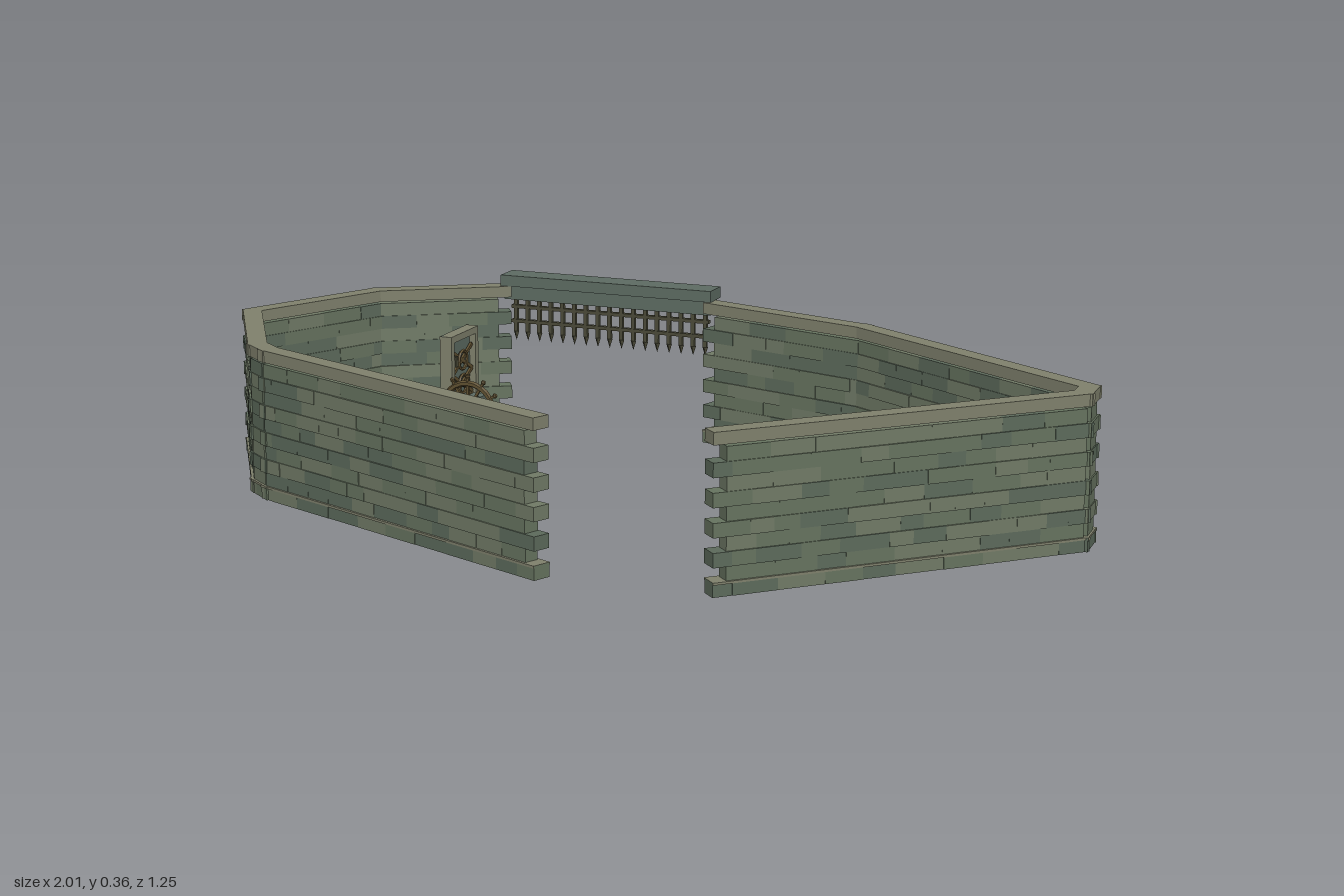
import * as THREE from 'three';
import { mergeGeometries } from 'three/addons/utils/BufferGeometryUtils.js';

const mat = (color) => new THREE.MeshStandardMaterial({ color, flatShading: true });
const stones = [0x66735f, 0x5c6a5b, 0x707a66].map(mat);
const capStone = mat(0x7f806c);
const slate = mat(0x5d6b62);
const bronze = mat(0x5e4f30);
const wood = mat(0x4b4a38);
const water = mat(0x3a7468);

let seed = 7;
const rand = () => (seed = (seed * 16807) % 2147483647) / 2147483647;

const box = (w, h, d, x, y, z) => new THREE.BoxGeometry(w, h, d).translate(x, y, z);

function add(parent, name, geometries, material) {
  const list = [].concat(geometries).map((g) => (g.index ? g.toNonIndexed() : g));
  const mesh = new THREE.Mesh(mergeGeometries(list), material);
  mesh.name = name;
  parent.add(mesh);
  return mesh;
}

// Straight wall of eleven brick courses; every other course is set back at an open end
function wall(name, [x0, z0], [x1, z1], openStart, openEnd) {
  const group = new THREE.Group();
  group.name = name;
  const length = Math.hypot(x1 - x0, z1 - z0);
  const bricks = [[], [], []];
  const trim = [];
  for (let i = 0; i < 11; i++) {
    const y = 0.022 + i * 0.03;
    const long = i % 2 === 0;
    const start = long ? (openStart ? 0 : -0.014) : (openStart ? 0.03 : 0);
    const end = length + (long ? (openEnd ? 0 : 0.014) : (openEnd ? -0.03 : 0));
    if (i === 10) {
      trim.push(box(end - start, 0.026, 0.042, (start + end) / 2, y + 0.003, 0));
      continue;
    }
    let x = start;
    while (x < end - 0.001) {
      let w = 0.05 + rand() * 0.06;
      if (end - x - w < 0.03) w = end - x;
      const depth = (long ? 0.038 : 0.032) + rand() * 0.004;
      bricks[Math.floor(rand() * 3)].push(box(w, 0.03, depth, x + w / 2, y, 0));
      x += w;
    }
    // thin ledge above the footing
    if (i === 0) trim.push(box(end - start, 0.005, 0.044, (start + end) / 2, 0.035, 0));
  }
  bricks.forEach((list, i) => list.length && add(group, 'bricks' + (i + 1), list, stones[i]));
  add(group, 'copingAndLedge', trim, capStone);
  group.position.set(x0, 0, z0);
  group.rotation.y = Math.atan2(z0 - z1, x1 - x0);
  return group;
}

// Raised gate: lintel, beam and hanging pointed bars
function gate() {
  const g = new THREE.Group();
  g.name = 'gate';
  add(g, 'lintel', [
    box(0.53, 0.026, 0.066, 0, 0.351, 0),
    box(0.52, 0.034, 0.045, 0, 0.322, 0),
    box(0.06, 0.02, 0.01, -0.17, 0.351, -0.034),
    box(0.02, 0.02, 0.01, 0.13, 0.351, -0.034),
  ], slate);
  const bars = [];
  for (let i = 0; i < 17; i++) {
    const x = -0.24 + i * 0.03;
    bars.push(box(0.009, 0.09, 0.009, x, 0.27, 0));
    bars.push(new THREE.ConeGeometry(0.007, 0.022, 4).rotateX(Math.PI).translate(x, 0.214, 0));
  }
  for (const y of [0.25, 0.285]) bars.push(box(0.5, 0.008, 0.012, 0, y, 0));
  add(g, 'portcullis', bars, wood);
  g.position.set(-0.31, 0, -0.588);
  return g;
}

// Upright wheel on a stone slab
function wheelStand() {
  const g = new THREE.Group();
  g.name = 'wheelStand';
  add(g, 'slab', box(0.19, 0.03, 0.155, 0, 0.015, 0), capStone);
  add(g, 'post', box(0.035, 0.12, 0.035, 0, 0.09, -0.022), slate);
  const parts = [
    new THREE.TorusGeometry(0.062, 0.007, 6, 24),
    new THREE.TorusGeometry(0.032, 0.004, 6, 20),
    new THREE.CylinderGeometry(0.014, 0.014, 0.05, 10).rotateX(Math.PI / 2),
  ];
  for (let i = 0; i < 12; i++) {
    const a = (i * Math.PI) / 6;
    parts.push(box(0.006, 0.066, 0.006, 0, 0.045, 0).rotateZ(a));
    parts.push(new THREE.SphereGeometry(0.006, 6, 4).translate(0, 0.077, 0).rotateZ(a));
  }
  add(g, 'wheel', parts, bronze).position.set(0, 0.125, 0.028);
  g.position.set(-0.49, 0, -0.217);
  return g;
}

// Freestanding panel, framed lattice on its +x face and plain behind
function panel(name, x, z, turn) {
  const g = new THREE.Group();
  g.name = name;
  add(g, 'backing', box(0.014, 0.25, 0.145, -0.007, 0.127, 0), slate);
  add(g, 'frame', [
    ...[-1, 1].map((s) => box(0.03, 0.25, 0.016, 0, 0.127, s * 0.0645)),
    ...[0.01, 0.244].map((y) => box(0.03, 0.016, 0.14, 0, y, 0)),
  ], capStone);
  const lattice = [];
  for (const s of [-1, 1]) {
    for (const y of [0.07, 0.127, 0.184]) {
      lattice.push(box(0.006, 0.12, 0.008, 0, 0, 0).rotateX(s * 1.08).translate(0.006, y, 0));
    }
  }
  for (const y of [0.07, 0.127, 0.184]) {
    lattice.push(new THREE.TorusGeometry(0.022, 0.004, 5, 14).rotateY(Math.PI / 2).translate(0.009, y, 0));
  }
  add(g, 'lattice', lattice, bronze);
  add(g, 'hinges', [0.06, 0.19].map((y) => box(0.036, 0.025, 0.012, 0, y, 0.05)), wood);
  g.position.set(x, 0, z);
  g.rotation.y = turn;
  return g;
}

// Square basin with a thin rim and still water
function basin() {
  const g = new THREE.Group();
  g.name = 'basin';
  add(g, 'floor', box(0.16, 0.01, 0.16, 0, 0.005, 0), wood);
  const sides = [];
  for (const s of [-1, 1]) {
    sides.push(box(0.16, 0.045, 0.012, 0, 0.0225, s * 0.074));
    sides.push(box(0.012, 0.045, 0.136, s * 0.074, 0.0225, 0));
  }
  add(g, 'rim', sides, mat(0x6b6650));
  add(g, 'water', box(0.138, 0.022, 0.138, 0, 0.02, 0), water);
  g.position.set(0.54, 0, 0.085);
  return g;
}

export function createModel() {
  seed = 7;
  const model = new THREE.Group();
  model.name = 'walledCourtyard';
  const runs = {
    right: [[0.045, 0.607], [-0.745, 0.265], [-0.795, 0.225], [-0.98, -0.085], [-0.825, -0.405], [-0.56, -0.575]],
    left: [[-0.055, -0.57], [0.36, -0.445], [0.972, -0.058], [0.975, 0], [0.39, 0.587]],
  };
  for (const [side, pts] of Object.entries(runs)) {
    for (let i = 0; i < pts.length - 1; i++) {
      model.add(wall(side + 'Wall' + (i + 1), pts[i], pts[i + 1], i === 0, i === pts.length - 2));
    }
  }
  model.add(gate(), wheelStand(), basin());
  model.add(panel('backPanel', -0.62, -0.418, 0), panel('frontPanel', 0.527, 0.325, Math.PI));
  return model;
}
